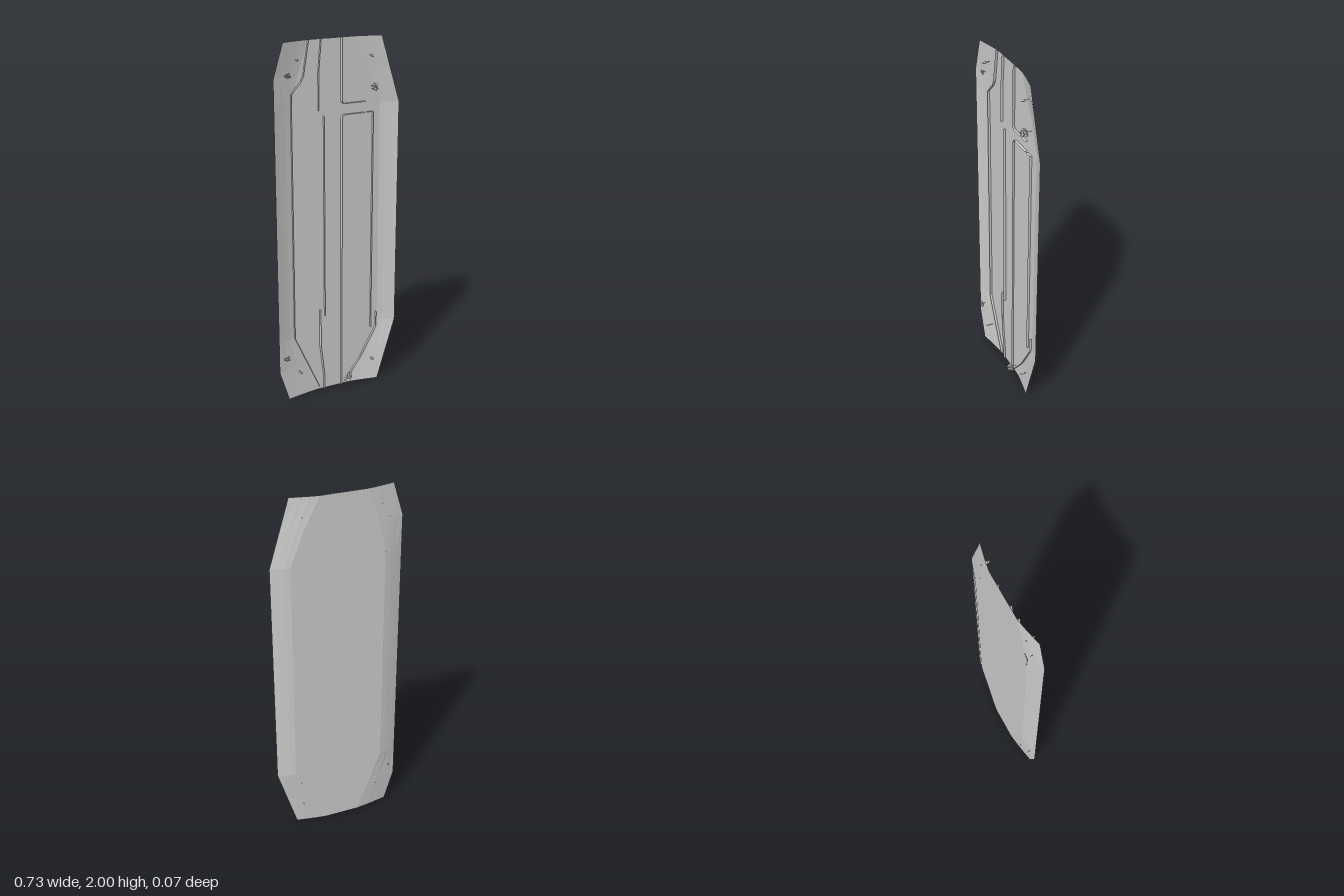
import * as THREE from 'three';

const BACK = -0.035;
const material = () => new THREE.MeshStandardMaterial({ color: 0xcccccc, flatShading: true, side: THREE.DoubleSide });

// Grid surface from rows of points, all rows equally long
function gridSurface(rows, mat, name) {
  const n = rows[0].length, index = [];
  for (let r = 0; r < rows.length - 1; r++) {
    for (let c = 0; c < n - 1; c++) {
      const a = r * n + c, b = a + n;
      index.push(a, a + 1, b, a + 1, b + 1, b);
    }
  }
  const geo = new THREE.BufferGeometry();
  geo.setAttribute('position', new THREE.Float32BufferAttribute(rows.flat(2), 3));
  geo.setIndex(index);
  geo.computeVertexNormals();
  const mesh = new THREE.Mesh(geo, mat);
  mesh.name = name;
  return mesh;
}

// Panel sections: y, left-hand edge, left-hand crease, right-hand crease, right-hand edge
const SECTIONS = [
  [0, -0.31, -0.12, 0.08, 0.25],
  [0.18, -0.365, -0.19, 0.17, 0.305],
  [0.36, -0.365, -0.26, 0.26, 0.36],
  [1.0, -0.365, -0.26, 0.26, 0.36],
  [1.64, -0.365, -0.26, 0.26, 0.36],
  [1.82, -0.365, -0.22, 0.19, 0.305],
  [2, -0.31, -0.16, 0.1, 0.25],
];

// Flat middle, with sides that curl forward towards the rim
function panelRow([y, e0, c0, c1, e1]) {
  const rim = (edge, crease, t) => [crease + (edge - crease) * t, y, BACK + 0.031 * Math.pow(t, 1.2)];
  const ts = [0, 0.33, 0.67, 1];
  return [...ts.slice().reverse().map(t => rim(e0, c0, t)), ...ts.map(t => rim(e1, c1, t))];
}

// Thin upright strip following a path on the panel; lean tilts its front edge
function fin(path, mat, name, lean = 0, height = 0.014) {
  const base = path.map(([x, y]) => [x, y, BACK]);
  const top = path.map(([x, y]) => [x + lean, y, BACK + height]);
  return gridSurface([base, top], mat, name);
}

// Cluster of narrow pointed crystals around a stem
function crystalCluster(x, y, z, radius, depth, count, mat) {
  const group = new THREE.Group();
  group.name = 'crystalCluster';
  const shard = new THREE.OctahedronGeometry(1);
  for (let i = 0; i < count; i++) {
    const angle = i * 2.4, out = count > 1 ? radius * 0.6 * Math.sqrt((i + 0.5) / count) : 0;
    const crystal = new THREE.Mesh(shard, mat);
    crystal.name = 'crystal';
    const w = count > 1 ? radius * 0.42 : radius;
    crystal.scale.set(w, w * 0.85, depth * (count > 1 ? 0.33 : 0.5));
    crystal.position.set(x + Math.cos(angle) * out, y + Math.sin(angle) * out,
      z + (count > 1 ? ((i * 3) % count / (count - 1) - 0.5) * depth * 0.34 : 0));
    crystal.rotation.set(Math.sin(angle) * 0.25 * (count > 1), Math.cos(angle) * 0.25 * (count > 1), angle);
    group.add(crystal);
  }
  // Stem reaching back through the panel
  const length = z - BACK + 0.002;
  const stem = new THREE.Mesh(new THREE.CylinderGeometry(0.001, 0.001, length, 4), mat);
  stem.name = 'stem';
  stem.rotation.x = Math.PI / 2;
  stem.position.set(x, y, z - length / 2);
  group.add(stem);
  return group;
}

export function createModel() {
  const model = new THREE.Group();
  model.name = 'curvedPanel';
  const mat = material();

  model.add(gridSurface(SECTIONS.map(panelRow), mat, 'panel'));

  // Raised strips that divide the front
  const fins = new THREE.Group();
  fins.name = 'dividerFins';
  const lean = 0.004;
  fins.add(
    fin([[-0.16, 2], [-0.19, 1.82], [-0.205, 1.79], [-0.26, 1.73], [-0.26, 0.36], [-0.11, 0.02]], mat, 'sideFin'),
    fin([[-0.09, 2], [-0.105, 1.83], [-0.105, 1.63]], mat, 'upperMiddleFin'),
    fin([[-0.075, 1.6], [-0.075, 0.46]], mat, 'middleFin'),
    fin([[-0.105, 0.5], [-0.105, 0.28], [-0.083, 0.09], [-0.083, 0]], mat, 'lowerMiddleFin', lean),
    fin([[0.026, 2], [0.026, 1.67], [0.03, 1.66], [0.04, 1.655], [0.165, 1.655]], mat, 'upperFrameFin', lean),
    fin([[0.026, 0], [0.026, 1.575], [0.031, 1.59], [0.043, 1.596], [0.16, 1.596]], mat, 'frameFin', lean),
    fin([[0.175, 1.596], [0.215, 1.596], [0.215, 0.33]], mat, 'frameSideFin'),
    fin([[0.25, 0.42], [0.25, 0.33], [0.15, 0.15], [0.05, 0.02]], mat, 'lowerCornerFin'),
  );
  model.add(fins);

  // Crystals near the corners: x, y, z, radius, depth, count
  const clusters = [
    [-0.285, 1.832, -0.004, 0.02, 0.018, 6],
    [0.207, 1.732, 0.006, 0.028, 0.046, 7],
    [-0.321, 0.262, 0.008, 0.022, 0.024, 6],
    [0.064, 0.06, 0.004, 0.027, 0.042, 7],
    [-0.237, 1.908, 0, 0.009, 0.04, 1],
    [0.192, 1.898, 0, 0.009, 0.04, 1],
    [-0.237, 0.153, 0, 0.009, 0.04, 1],
    [0.215, 0.136, 0, 0.009, 0.04, 1],
  ];
  for (const c of clusters) model.add(crystalCluster(...c, mat));
  return model;
}
